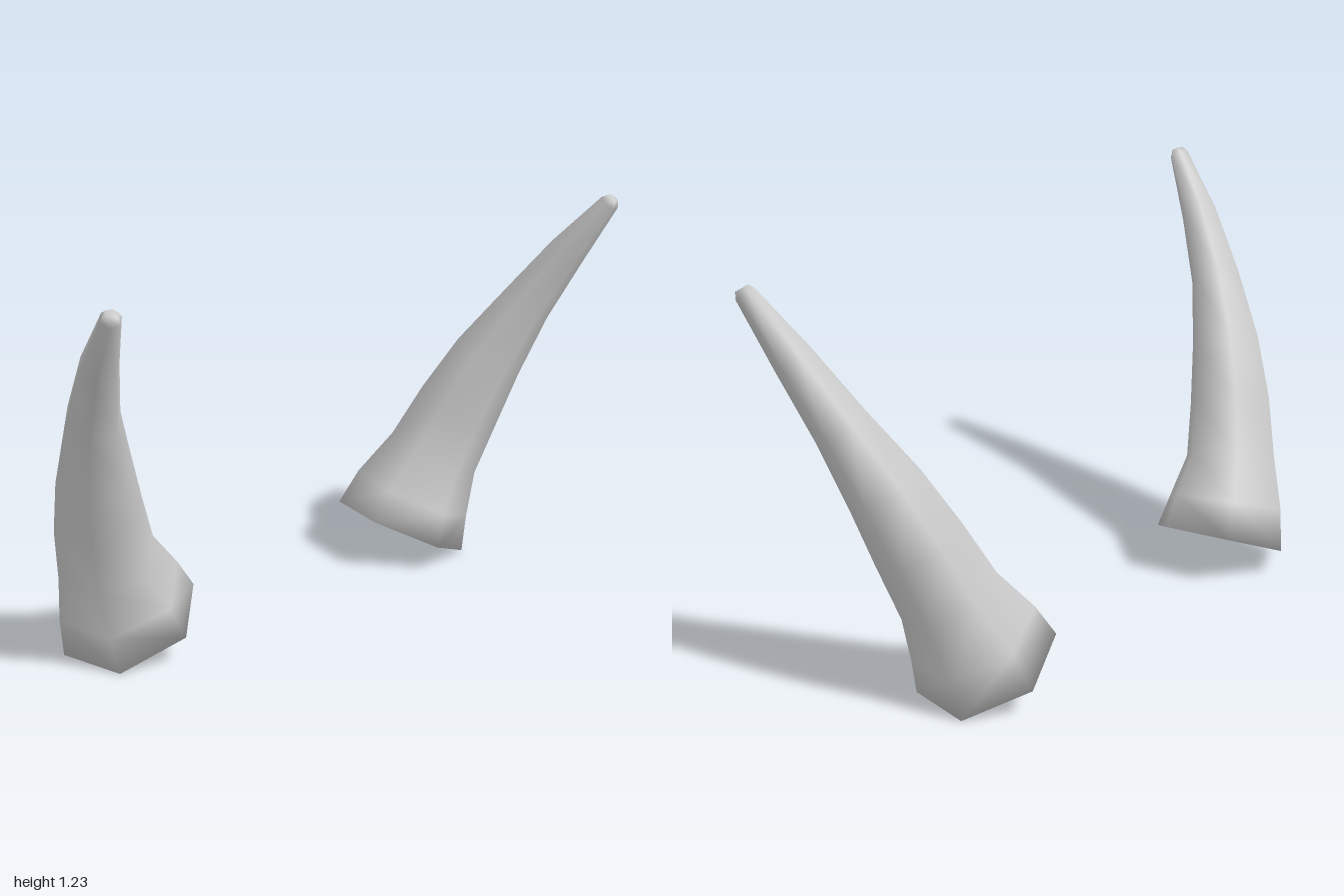
import * as THREE from 'three';

const SIDES = 6;

// Sections of one horn from base to tip: centre x, y, z and radius
const SECTIONS = [
  [0.567, 0.077, -0.15, 0.22],
  [0.61, 0.185, -0.14, 0.195],
  [0.675, 0.32, -0.11, 0.152],
  [0.737, 0.485, -0.057, 0.137],
  [0.797, 0.655, 0.01, 0.115],
  [0.865, 0.84, 0.105, 0.083],
  [0.923, 1.025, 0.22, 0.06],
  [0.971, 1.197, 0.344, 0.031],
  [0.974, 1.212, 0.353, 0.02],
];

// Six-sided tapering tube with closed ends; side is 1 for left, -1 for right
function hornGeometry(side) {
  const centres = SECTIONS.map(([x, y, z]) => new THREE.Vector3(x, y, z));
  const last = centres.length - 1;
  const positions = [];
  const index = [];
  const face = (a, b, c) => index.push(...(side > 0 ? [a, b, c] : [a, c, b]));

  centres.forEach((centre, i) => {
    // The section lies square to the path, with one corner towards the front
    const along = i === 0
      ? new THREE.Vector3(0.43, 0.9, 0.09)
      : centres[Math.min(i + 1, last)].clone().sub(centres[i - 1]);
    along.normalize();
    const u = new THREE.Vector3(-0.2, 0, 0.98).projectOnPlane(along).normalize();
    const v = along.clone().cross(u);
    for (let j = 0; j < SIDES; j++) {
      const angle = (j / SIDES) * Math.PI * 2;
      const p = centre.clone()
        .addScaledVector(u, Math.cos(angle) * SECTIONS[i][3])
        .addScaledVector(v, Math.sin(angle) * SECTIONS[i][3]);
      positions.push(p.x * side, p.y, p.z);
    }
  });

  // Walls
  for (let i = 0; i < last; i++) {
    for (let j = 0; j < SIDES; j++) {
      const a = i * SIDES + j;
      const b = i * SIDES + (j + 1) % SIDES;
      face(a, b, b + SIDES);
      face(a, b + SIDES, a + SIDES);
    }
  }
  // Base and tip caps
  const top = last * SIDES;
  for (let j = 1; j < SIDES - 1; j++) {
    face(0, j + 1, j);
    face(top, top + j, top + j + 1);
  }

  const geometry = new THREE.BufferGeometry();
  geometry.setAttribute('position', new THREE.Float32BufferAttribute(positions, 3));
  geometry.setIndex(index);
  geometry.computeVertexNormals();
  return geometry;
}

export function createModel() {
  const group = new THREE.Group();
  group.name = 'horns';
  const material = new THREE.MeshStandardMaterial({ color: 0xcccccc });
  material.name = 'light grey';

  for (const [name, side] of [['leftHorn', 1], ['rightHorn', -1]]) {
    const horn = new THREE.Mesh(hornGeometry(side), material);
    horn.name = name;
    group.add(horn);
  }
  return group;
}
